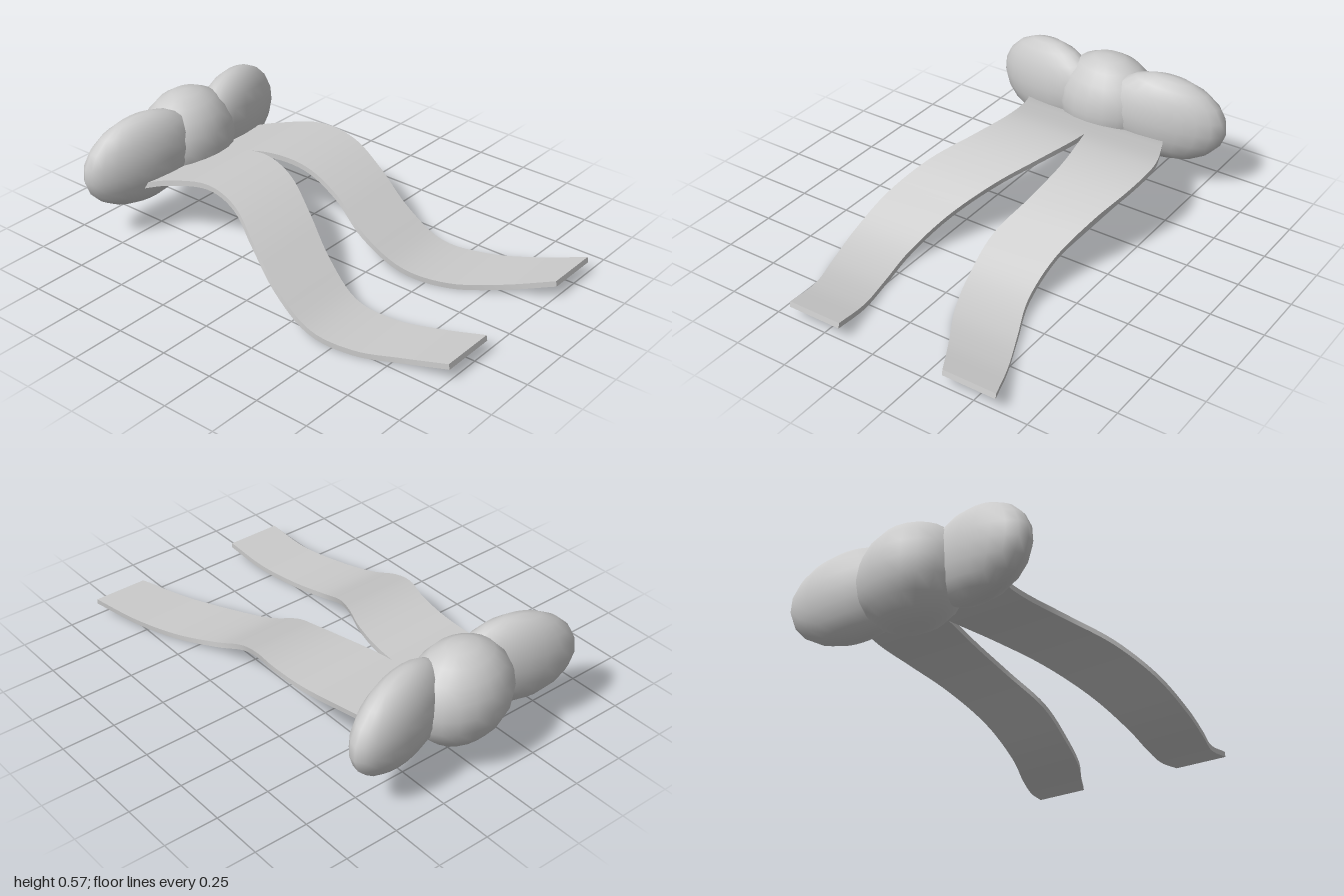
import * as THREE from 'three';

const material = new THREE.MeshStandardMaterial({ color: 0xcccccc });

// Stations shared by both tails: depth and height of the wavy centreline
const Z = [1, 0.8, 0.6, 0.4, 0.2, 0, -0.2, -0.4, -0.6, -0.74];
const Y = [0.072, 0.03, 0.015, 0.047, 0.145, 0.245, 0.31, 0.325, 0.29, 0.25];
const THICK = 0.025;

function ellipsoid(name, rx, ry, rz) {
  const mesh = new THREE.Mesh(new THREE.SphereGeometry(1, 20, 10), material);
  mesh.scale.set(rx, ry, rz);
  mesh.name = name;
  return mesh;
}

// Flat ribbon swept between a left and a right edge, with sharp corners
function ribbon(name, leftX, rightX, steps = 54) {
  const edge = (xs) => new THREE.CatmullRomCurve3(
    xs.map((x, i) => new THREE.Vector3(x, Y[i], Z[i])), false, 'catmullrom', 0.5);
  const left = edge(leftX), right = edge(rightX);
  const rings = [];
  for (let i = 0; i <= steps; i++) {
    const t = i / steps;
    const l = left.getPoint(t), r = right.getPoint(t);
    const tan = left.getTangent(t);
    const n = new THREE.Vector3(0, -tan.z, tan.y).normalize().multiplyScalar(THICK / 2);
    rings.push([l.clone().add(n), r.clone().add(n), r.clone().sub(n), l.clone().sub(n)]);
  }
  const pos = [], idx = [];
  // Top, right, bottom and left strips
  for (let s = 0; s < 4; s++) {
    const base = pos.length / 3;
    rings.forEach((ring, i) => {
      pos.push(...ring[s].toArray(), ...ring[(s + 1) % 4].toArray());
      if (i === steps) return;
      const a = base + i * 2;
      idx.push(a, a + 1, a + 3, a, a + 3, a + 2);
    });
  }
  // End caps
  const cap = (ring, order) => {
    const b = pos.length / 3;
    order.forEach((k) => pos.push(...ring[k].toArray()));
    idx.push(b, b + 1, b + 2, b, b + 2, b + 3);
  };
  cap(rings[0], [0, 3, 2, 1]);
  cap(rings[steps], [0, 1, 2, 3]);

  const geo = new THREE.BufferGeometry();
  geo.setAttribute('position', new THREE.Float32BufferAttribute(pos, 3));
  geo.setIndex(idx);
  geo.computeVertexNormals();
  const mesh = new THREE.Mesh(geo, material);
  mesh.name = name;
  return mesh;
}

export function createModel() {
  const bow = new THREE.Group();
  bow.name = 'ribbonBow';

  // Central knot
  const knot = ellipsoid('knot', 0.25, 0.235, 0.195);
  knot.position.set(0, 0.335, -0.803);
  bow.add(knot);

  // Puffy loops, swept back and drooping slightly outwards
  for (const side of [1, -1]) {
    const loop = ellipsoid(side > 0 ? 'leftLoop' : 'rightLoop', 0.296, 0.21, 0.119);
    loop.position.set(side * 0.312, 0.35, -0.792);
    loop.rotation.set(0, side * 0.225, -side * 0.14);
    bow.add(loop);
  }

  // Trailing tails
  bow.add(ribbon('rightTail',
    [-0.43, -0.465, -0.53, -0.565, -0.535, -0.45, -0.345, -0.3, -0.335, -0.4],
    [-0.17, -0.2, -0.245, -0.263, -0.2, -0.09, 0.02, 0.075, 0.055, 0.01]));
  bow.add(ribbon('leftTail',
    [0.35, 0.235, 0.12, 0.053, 0.042, 0.1, 0.125, 0.095, 0.03, -0.03],
    [0.605, 0.525, 0.435, 0.357, 0.36, 0.42, 0.478, 0.48, 0.405, 0.335]));
  return bow;
}
